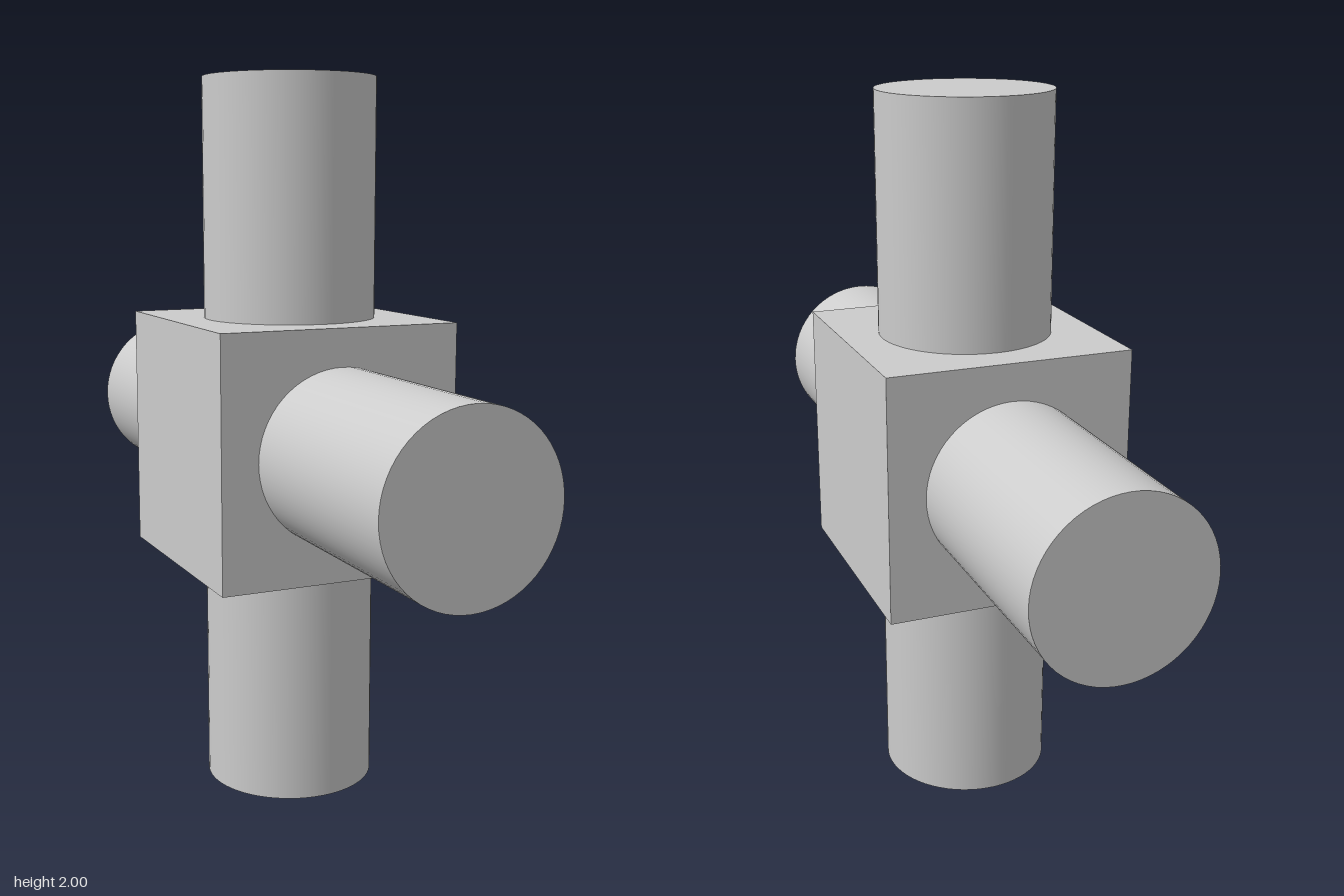
import * as THREE from 'three';

const CENTRE_Y = 1;
const BLOCK = 0.686;
const RADIUS = 0.24;

export function createModel() {
  const group = new THREE.Group();
  group.name = 'pipeCross';

  const grey = new THREE.MeshStandardMaterial({ color: 0xcccccc });
  grey.name = 'light grey';

  // Central cube
  const block = new THREE.Mesh(new THREE.BoxGeometry(BLOCK, BLOCK, BLOCK), grey);
  block.name = 'centreBlock';
  block.position.y = CENTRE_Y;
  group.add(block);

  // Four round arms, each running from a block face out to 1 unit from the centre
  const length = 1 - BLOCK / 2;
  const armGeometry = new THREE.CylinderGeometry(RADIUS, RADIUS, length, 64);
  const up = new THREE.Vector3(0, 1, 0);
  const arms = {
    topArm: [0, 1, 0],
    bottomArm: [0, -1, 0],
    frontArm: [0, 0, 1],
    backArm: [0, 0, -1],
  };
  for (const [name, axis] of Object.entries(arms)) {
    const direction = new THREE.Vector3(...axis);
    const arm = new THREE.Mesh(armGeometry, grey);
    arm.name = name;
    arm.quaternion.setFromUnitVectors(up, direction);
    arm.position.copy(direction).multiplyScalar(1 - length / 2);
    arm.position.y += CENTRE_Y;
    group.add(arm);
  }

  return group;
}
